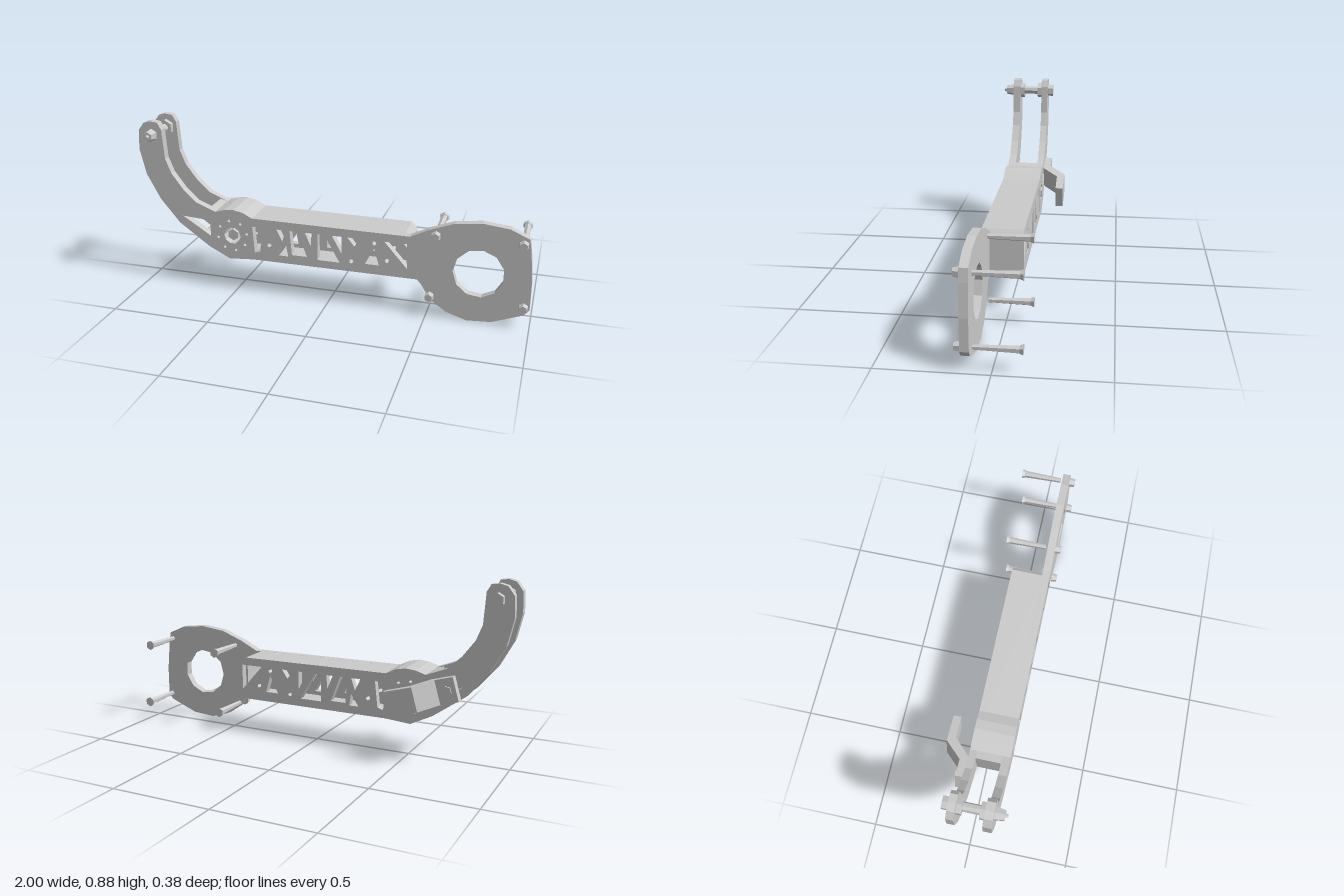
import * as THREE from 'three';

const mat = new THREE.MeshStandardMaterial({ color: 0xcccccc, flatShading: true, side: THREE.DoubleSide });
const V = (pts) => pts.map(([x, y]) => new THREE.Vector2(x, y));

function add(parent, name, geometry, x = 0, y = 0, z = 0) {
  const mesh = new THREE.Mesh(geometry, mat);
  mesh.name = name;
  mesh.position.set(x, y, z);
  parent.add(mesh);
  return mesh;
}

// Flat part cut from an outline with holes, between two depths
function slab(outline, holes, z0, z1) {
  const shape = new THREE.Shape(V(outline));
  holes.forEach((h) => shape.holes.push(new THREE.Path(V(h))));
  return new THREE.ExtrudeGeometry(shape, { depth: z1 - z0, bevelEnabled: false }).translate(0, 0, z0);
}

function ring(x, y, r, n, turn = 0) {
  return Array.from({ length: n }, (_, i) => {
    const a = turn + (i / n) * Math.PI * 2;
    return [x + r * Math.cos(a), y + r * Math.sin(a)];
  });
}

// Cylinder along z: radius r0 at z0 and r1 at z1
function rod(z0, z1, r0, r1 = r0, n = 6) {
  return new THREE.CylinderGeometry(r1, r0, z1 - z0, n).rotateX(Math.PI / 2).translate(0, 0, (z0 + z1) / 2);
}

// Curved arm edges: upper edge from tip to beam, lower edge from beam to tip
const armTop = [[-0.995, 0.83], [-0.965, 0.87], [-0.93, 0.88], [-0.89, 0.875], [-0.87, 0.84], [-0.86, 0.69],
  [-0.83, 0.615], [-0.77, 0.535], [-0.7, 0.47], [-0.6, 0.43]];
const bump = [[-0.55, 0.445], [-0.5, 0.45], [-0.45, 0.44], [-0.4, 0.415]];
const armLow = [[-0.4, 0.19], [-0.53, 0.18], [-0.64, 0.235]];
const armBack = [[-0.8, 0.35], [-0.9, 0.47], [-0.97, 0.6], [-1, 0.73]];
const head = [[0.41, 0.41], [0.5, 0.455], [0.62, 0.5], [0.75, 0.515], [0.88, 0.5], [0.97, 0.46], [0.98, 0.4],
  [0.995, 0.25], [0.995, 0.1], [0.97, 0.07], [0.82, 0.012], [0.7, 0.004], [0.6, 0.035], [0.52, 0.09],
  [0.47, 0.17], [0.45, 0.19]];
const beamEnd = [[0.38, 0.41], [0.41, 0.375], [0.41, 0.19]];

// Truss cut-outs shared by both side plates
const hub = [-0.51, 0.31];
const cutouts = [
  [[-0.78, 0.39], [-0.63, 0.38], [-0.63, 0.295]],
  [[-0.4, 0.37], [-0.345, 0.37], [-0.36, 0.24], [-0.39, 0.23]],
  [[-0.27, 0.37], [-0.22, 0.37], [-0.24, 0.31]],
  [[-0.26, 0.23], [-0.21, 0.23], [-0.22, 0.29]],
  [[-0.2, 0.37], [-0.16, 0.37], [-0.11, 0.24], [-0.19, 0.24]],
  [[-0.12, 0.37], [-0.085, 0.37], [-0.09, 0.3]],
  [[-0.055, 0.37], [-0.02, 0.37], [0.06, 0.23], [-0.055, 0.23]],
  [[0.02, 0.37], [0.07, 0.37], [0.07, 0.28]],
  [[0.1, 0.37], [0.165, 0.37], [0.135, 0.325]],
  [[0.19, 0.24], [0.26, 0.24], [0.235, 0.33]],
  [[0.285, 0.37], [0.4, 0.37], [0.4, 0.24]],
  ...[[-0.31, 0.28], [0.12, 0.245], [0.235, 0.355], [0.3, 0.27]].map(([x, y]) => ring(x, y, 0.012, 5)),
  ring(...hub, 0.045, 10),
  ...ring(...hub, 0.08, 8, 0.2).map(([x, y]) => ring(x, y, 0.008, 5)),
];

export function createModel() {
  const model = new THREE.Group();
  model.name = 'bracketArm';

  // Side plates
  const bore = ring(0.745, 0.258, 0.123, 11, 0.3);
  add(model, 'frontPlate', slab([...armTop, ...bump, ...head, ...armLow, ...armBack], [...cutouts, bore], 0.09, 0.13));
  add(model, 'backPlate', slab([...armTop, ...bump, ...beamEnd, ...armLow, ...armBack], cutouts, -0.07, -0.035));

  // Hollow beam walls between the plates
  const outer = [[-0.64, 0.44], [-0.6, 0.43], ...bump, ...beamEnd, ...armLow];
  const inner = [[-0.62, 0.41], [-0.5, 0.425], [-0.4, 0.39], [0.37, 0.39], [0.39, 0.365], [0.39, 0.21],
    [-0.39, 0.21], [-0.53, 0.2], [-0.62, 0.245]];
  add(model, 'beamWalls', slab(outer, [inner], -0.035, 0.09));

  // Pivot hub inside the beam
  add(model, 'hubSleeve', slab(ring(...hub, 0.06, 10), [ring(...hub, 0.045, 10)], -0.035, 0.09));
  add(model, 'hubBolt', rod(-0.075, 0.12, 0.03), ...hub);

  // Pivot pin and nuts at the arm tip
  const pin = new THREE.Group();
  pin.name = 'tipPin';
  pin.position.set(-0.925, 0.81, 0);
  model.add(pin);
  add(pin, 'pinShaft', rod(-0.08, 0.17, 0.022, 0.022, 8));
  add(pin, 'pinHead', rod(0.13, 0.175, 0.032, 0.025));
  add(pin, 'pinTip', rod(0.175, 0.188, 0.012, 0.008));
  add(pin, 'frontNut', rod(0.068, 0.09, 0.042));
  add(pin, 'backNut', rod(-0.035, -0.01, 0.042));
  add(pin, 'endNut', rod(-0.1, -0.07, 0.032));

  // Mounting screws around the bore
  for (const [x, y] of [[0.535, 0.43], [0.945, 0.43], [0.515, 0.11], [0.965, 0.11]]) {
    const screw = new THREE.Group();
    screw.name = 'mountingScrew';
    screw.position.set(x, y, 0);
    model.add(screw);
    add(screw, 'screwHead', rod(0.13, 0.158, 0.025, 0.02));
    add(screw, 'screwShaft', rod(-0.115, 0.08, 0.018, 0.012));
    add(screw, 'screwTip', rod(-0.13, -0.115, 0.026, 0.02));
  }

  // Stepped strap on the back, profile drawn as (x, -z) and extruded across its width
  const strap = new THREE.Group();
  strap.name = 'backStrap';
  strap.position.set(-0.61, 0.345, 0);
  strap.rotation.z = -0.28;
  model.add(strap);
  const profile = [[-0.155, 0.072], [-0.04, 0.072], [0.045, 0.155], [0.165, 0.155], [0.165, 0.195],
    [0.02, 0.195], [-0.065, 0.11], [-0.155, 0.11]];
  add(strap, 'strapBody', slab(profile, [], -0.06, 0.06).rotateX(-Math.PI / 2));
  add(strap, 'strapBolt', rod(-0.118, -0.11, 0.025), -0.11, 0, 0);

  return model;
}
